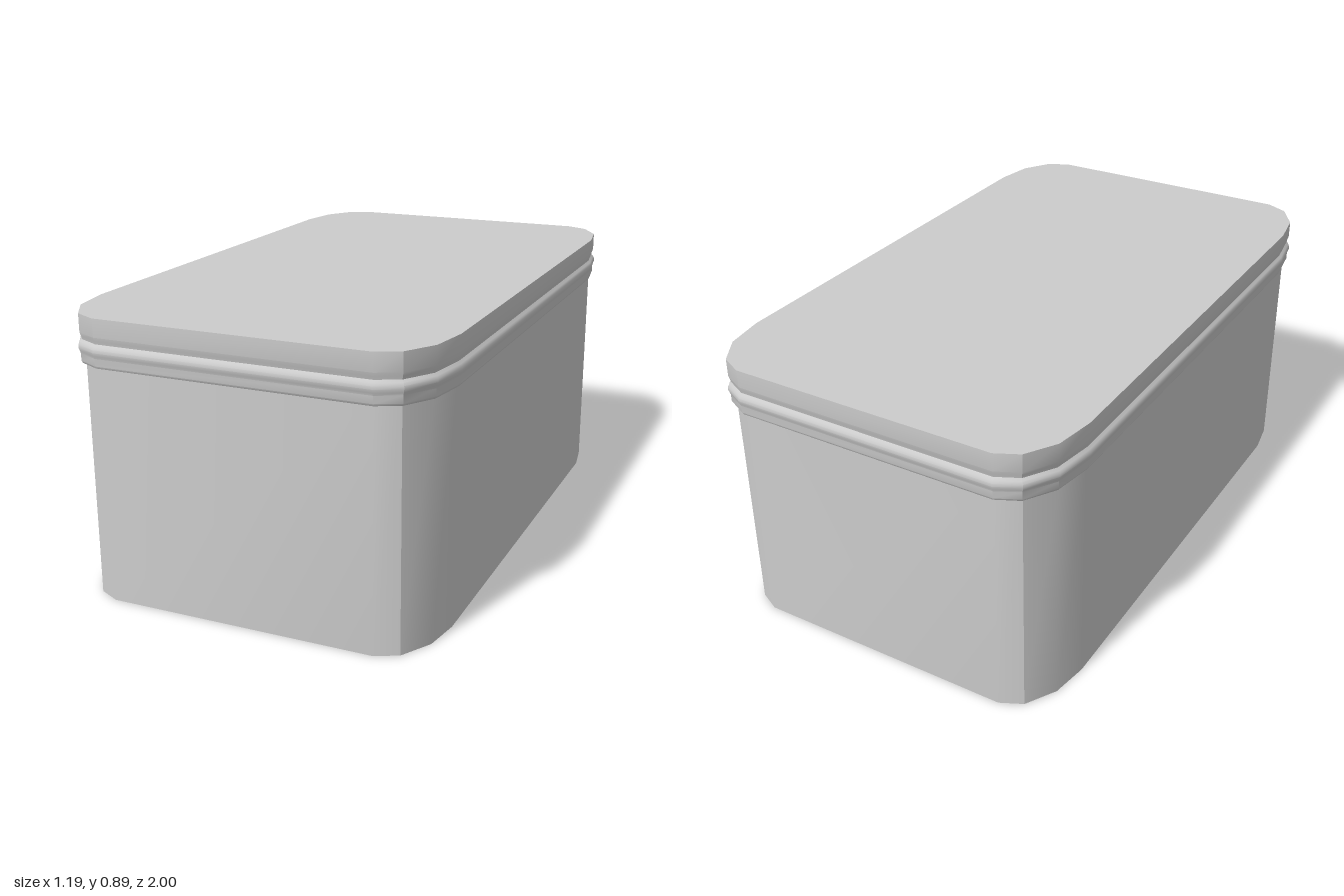
import * as THREE from 'three';
import { toCreasedNormals } from 'three/addons/utils/BufferGeometryUtils.js';

// One rounded corner as [x, z, outward angle in degrees]; mirrored into four.
const bodyCorner = [[0.577, 0.73, 5], [0.557, 0.85, 20], [0.5, 0.945, 45], [0.43, 0.979, 75]];
const lidCorner = [[0.587, 0.735, 5], [0.566, 0.866, 20], [0.508, 0.959, 45], [0.436, 0.994, 75]];

// Closed outline of four mirrored corners, pushed outward by offset.
function outline(corner, offset, y) {
  const points = [];
  [[1, 1], [-1, 1], [-1, -1], [1, -1]].forEach(([sx, sz], k) => {
    const side = k % 2 ? [...corner].reverse() : corner;
    for (const [x, z, deg] of side) {
      const a = THREE.MathUtils.degToRad(deg);
      points.push([sx * (x + offset * Math.cos(a)), y, sz * (z + offset * Math.sin(a))]);
    }
  });
  return points;
}

// Loft the outline through [offset, y] levels and close both ends.
function loft(corner, levels) {
  const rings = levels.map(([offset, y]) => outline(corner, offset, y));
  const n = rings[0].length;
  const last = rings.length - 1;
  const positions = rings.flat(2);
  const index = [];
  const bottom = rings.length * n;
  positions.push(0, levels[0][1], 0, 0, levels[last][1], 0);
  for (let i = 0; i < n; i++) {
    const k = (i + 1) % n;
    for (let j = 0; j < last; j++) {
      const a = j * n + i, b = j * n + k;
      index.push(a, a + n, b, b, a + n, b + n);
    }
    index.push(bottom, i, k);
    index.push(bottom + 1, last * n + k, last * n + i);
  }
  const geometry = new THREE.BufferGeometry();
  geometry.setAttribute('position', new THREE.Float32BufferAttribute(positions, 3));
  geometry.setIndex(index);
  return toCreasedNormals(geometry, Math.PI / 6);
}

export function createModel() {
  const group = new THREE.Group();
  group.name = 'lidded box';
  const grey = new THREE.MeshStandardMaterial({ color: 0xcccccc });
  grey.name = 'light grey';

  // Straight-walled container
  const body = new THREE.Mesh(loft(bodyCorner, [[0, 0], [0, 0.755]]), grey);
  body.name = 'body';

  // Lid with a narrow groove above a rounded bead
  const lid = new THREE.Mesh(loft(lidCorner, [
    [-0.004, 0.745], [0, 0.752], [0, 0.775], [0.003, 0.783], [0.006, 0.793],
    [0.005, 0.802], [0.001, 0.81], [-0.006, 0.817], [-0.004, 0.826], [0, 0.838], [0, 0.895],
  ]), grey);
  lid.name = 'lid';

  group.add(body, lid);
  return group;
}
